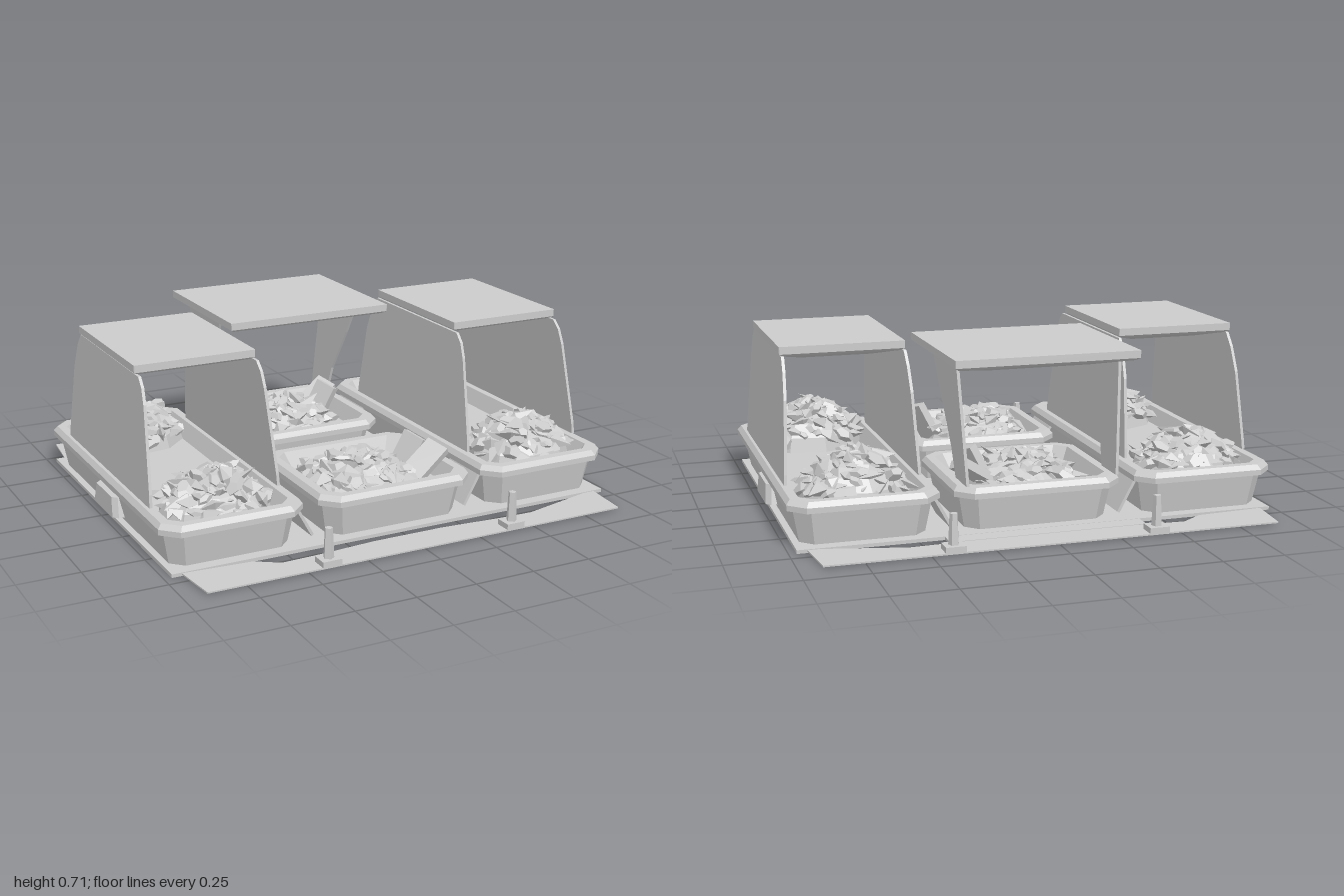
import * as THREE from 'three';
import { mergeGeometries } from 'three/addons/utils/BufferGeometryUtils.js';

const grey = new THREE.MeshStandardMaterial({ color: 0xcccccc, flatShading: true, side: THREE.DoubleSide });

function add(parent, name, geometry) {
  const mesh = new THREE.Mesh(geometry, grey);
  mesh.name = name;
  parent.add(mesh);
  return mesh;
}

function seeded(seed) {
  return () => (seed = (seed * 16807) % 2147483647) / 2147483647;
}

// Stack of chamfered rectangles, each [half width, half depth, y, chamfer], capped at both ends
function loft(rings) {
  const pos = [], idx = [], n = 8;
  for (const [w, d, y, c] of rings) {
    for (const [x, z] of [[w, d - c], [w, c - d], [w - c, -d], [c - w, -d],
      [-w, c - d], [-w, d - c], [c - w, d], [w - c, d]]) pos.push(x, y, z);
  }
  for (let i = 0; i < rings.length - 1; i++) {
    for (let j = 0; j < n; j++) {
      const a = i * n + j, b = i * n + (j + 1) % n;
      idx.push(a, b, b + n, a, b + n, a + n);
    }
  }
  const last = (rings.length - 1) * n;
  for (let j = 1; j < n - 1; j++) {
    idx.push(0, j + 1, j, last, last + j, last + j + 1);
  }
  const g = new THREE.BufferGeometry();
  g.setAttribute('position', new THREE.Float32BufferAttribute(pos, 3));
  g.setIndex(idx);
  g.computeVertexNormals();
  return g;
}

// Open tray with tapered body, thick rim and sunken floor
function tray(parent, name, x, z, w, d) {
  add(parent, name, loft([
    [w - 0.05, d - 0.05, 0.015, 0.05],
    [w - 0.025, d - 0.025, 0.15, 0.06],
    [w, d, 0.15, 0.065],
    [w, d, 0.172, 0.065],
    [w - 0.015, d - 0.015, 0.192, 0.06],
    [w - 0.05, d - 0.05, 0.192, 0.045],
    [w - 0.08, d - 0.08, 0.125, 0.04],
  ])).position.set(x, 0, z);
}

// Heap of jagged chunks lying over a low dome
function heap(parent, name, x, z, w, d, height, seed) {
  const rnd = seeded(seed), base = 0.13, parts = [];
  const dome = new THREE.SphereGeometry(1, 9, 4, 0, Math.PI * 2, 0, Math.PI / 2).toNonIndexed();
  dome.scale(w, height * 0.8, d).translate(0, base, 0);
  parts.push(dome);
  const count = 90;
  for (let i = 0; i < count; i++) {
    const r = Math.sqrt((i + 0.5) / count), a = i * 2.39996;
    const g = i % 3 ? new THREE.OctahedronGeometry(1) : new THREE.DodecahedronGeometry(1);
    const size = 0.026 + rnd() * 0.022;
    g.scale(size * (1 + rnd()), size * (0.4 + rnd() * 0.4), size * (0.7 + rnd() * 0.5));
    g.rotateX((rnd() - 0.5) * 1.8).rotateY(rnd() * 6.28).rotateZ((rnd() - 0.5) * 1.4);
    // squarish outline so the heap fills the tray corners
    const q = 1 / Math.max(Math.abs(Math.cos(a)), Math.abs(Math.sin(a))) ** 0.6;
    g.translate(Math.cos(a) * r * q * (w - 0.035),
      base + height * (1 - 0.65 * r * r) - 0.03 + rnd() * 0.02,
      Math.sin(a) * r * q * (d - 0.035));
    parts.push(g);
  }
  add(parent, name, mergeGeometries(parts)).position.set(x, 0, z);
}

// Thin upright panel drawn as a [z, y] outline, leaning from x0 (y = 0.2) to x1 (y = 0.67)
function panel(parent, name, outline, x0, x1) {
  const shape = new THREE.Shape(outline.map(([z, y]) => new THREE.Vector2(z, y)));
  const g = new THREE.ExtrudeGeometry(shape, { depth: 0.012, bevelEnabled: false });
  g.translate(0, 0, -0.006).rotateY(-Math.PI / 2);
  const p = g.attributes.position;
  for (let i = 0; i < p.count; i++) {
    p.setX(i, p.getX(i) + x0 + (x1 - x0) * (p.getY(i) - 0.2) / 0.47);
  }
  g.computeVertexNormals();
  add(parent, name, g);
}

// Flat slab roof with a shallow bulge beneath
function canopy(parent, name, x, z, w, d, y) {
  add(parent, name, loft([
    [w * 0.6, d * 0.6, y - 0.025, 0.01],
    [w - 0.015, d - 0.015, y + 0.005, 0.002],
    [w, d, y + 0.015, 0.002],
    [w, d, y + 0.045, 0.002],
  ])).position.set(x, 0, z);
}

export function createModel() {
  const model = new THREE.Group();
  model.name = 'marketStalls';

  // Ground sheet
  add(model, 'groundSheet', new THREE.BoxGeometry(1.94, 0.014, 1.4)).position.y = 0.008;
  add(model, 'backGroundSheet', new THREE.BoxGeometry(0.8, 0.012, 0.12)).position.set(0, 0.008, -0.71);

  // Front and back kerb strips with short posts
  for (const s of [1, -1]) {
    const end = s > 0 ? 'front' : 'back';
    const pts = [[-0.91, 0.895], [0.91, 0.895], [0.93, 0.7], [0.88, 0.7], [0.56, 0.78],
      [0.42, 0.775], [0.15, 0.755], [-0.15, 0.755], [-0.42, 0.775], [-0.56, 0.78], [-0.65, 0.72], [-0.93, 0.7]];
    const strip = new THREE.ExtrudeGeometry(
      new THREE.Shape(pts.map(([x, z]) => new THREE.Vector2(x, -z * s))), { depth: 0.006, bevelEnabled: false });
    strip.rotateX(-Math.PI / 2);
    add(model, end + 'Strip', strip).position.y = 0.006;
    for (const x of [-0.405, 0.41]) {
      const post = new THREE.Group();
      post.name = end + 'Post';
      post.position.set(x, 0, s * 0.86);
      add(post, 'postFoot', new THREE.BoxGeometry(0.08, 0.025, 0.07)).position.y = 0.022;
      add(post, 'postShaft', new THREE.CylinderGeometry(0.016, 0.022, 0.13, 5)).position.y = 0.09;
      model.add(post);
    }
  }

  // Two long covered stalls, mirrored
  const sidePanel = [[0.49, 0.2], [0.485, 0.25], [0.41, 0.58], [0.385, 0.64], [0.35, 0.675],
    [-0.33, 0.675], [-0.37, 0.62], [-0.41, 0.52], [-0.46, 0.24], [-0.465, 0.2]];
  for (const s of [1, -1]) {
    const stall = new THREE.Group();
    stall.name = s > 0 ? 'leftStall' : 'rightStall';
    model.add(stall);
    tray(stall, 'longTray', s * 0.697, 0, 0.296, 0.7);
    panel(stall, 'outerPanel', sidePanel, s * 0.965, s * 0.94);
    panel(stall, 'innerPanel', sidePanel, s * 0.435, s * 0.455);
    canopy(stall, 'stallCanopy', s * 0.703, 0, 0.25, 0.327, 0.668);
    for (const e of [1, -1]) {
      heap(stall, e > 0 ? 'frontHeap' : 'backHeap', s * 0.7, e * 0.46, 0.23, 0.19,
        s > 0 ? 0.2 : 0.18, 101 + s * 20 + e * 7);
    }
    // Side lug and braces to the ground
    add(stall, 'sideLug', loft([[0.035, 0.13, 0.03, 0.02], [0.03, 0.11, 0.11, 0.02]])).position.x = s * 0.955;
    for (const z of [-0.5, 0.5]) {
      const brace = add(stall, 'brace', new THREE.BoxGeometry(0.012, 0.16, 0.22));
      brace.position.set(s * 0.385, 0.09, z);
      brace.rotation.z = -s * 0.5;
    }
  }

  // Open tray at the front centre and covered tray behind it
  for (const e of [1, -1]) {
    const name = e > 0 ? 'frontCentre' : 'backCentre';
    tray(model, name + 'Tray', 0.005, e * 0.39, 0.34, 0.31);
    heap(model, name + 'Heap', e > 0 ? -0.05 : 0, e * 0.41, 0.235, 0.23, 0.125, 57 + e * 13);
    for (const [x, z, tilt] of [[0.19, 0.4, 0.5], [0.22, 0.5, 1.1]]) {
      const stick = add(model, name + 'Slab', new THREE.BoxGeometry(0.035, 0.18, 0.1));
      stick.position.set(x, 0.2, e * z);
      stick.rotation.set(0.3, 0.4, -tilt);
    }
  }
  const wing = [[-0.69, 0.2], [-0.685, 0.26], [-0.64, 0.67], [-0.3, 0.67], [-0.38, 0.52], [-0.5, 0.32], [-0.54, 0.2]];
  for (const s of [1, -1]) panel(model, 'backCentrePanel', wing, s * 0.305, s * 0.33);
  canopy(model, 'backCentreCanopy', 0.002, -0.43, 0.37, 0.33, 0.66);

  return model;
}
